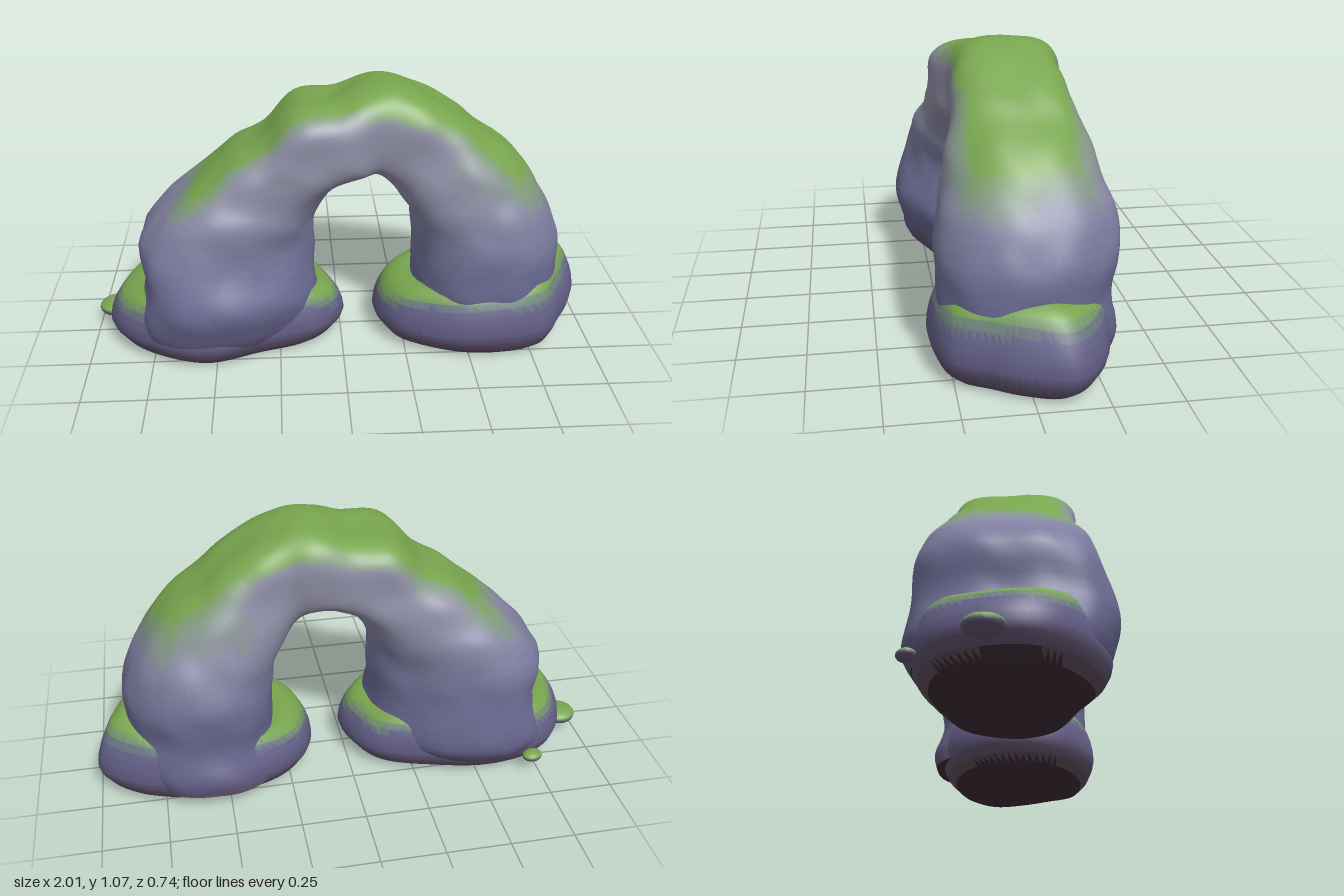
import * as THREE from 'three';

const V = (x, y, z) => new THREE.Vector3(x, y, z);
const { clamp, lerp, smoothstep } = THREE.MathUtils;

// Smooth, repeatable lumpiness in roughly -1..1
const lump = (p, f) =>
  (Math.sin(p.x * f + 1.3 * Math.sin(p.y * f * 0.8 + 1)) +
   Math.sin(p.y * f * 1.2 + 1.1 * Math.sin(p.z * f + 2)) +
   Math.sin(p.z * f * 1.1 + 1.2 * Math.sin(p.x * f * 0.9))) / 3;

// Skin over closed rings of equal length
function loft(rings) {
  const n = rings[0].length, idx = [];
  for (let i = 0; i < rings.length - 1; i++) {
    for (let j = 0; j < n; j++) {
      const k = (j + 1) % n, a = i * n, b = a + n;
      idx.push(a + j, a + k, b + j, a + k, b + k, b + j);
    }
  }
  const g = new THREE.BufferGeometry().setFromPoints(rings.flat());
  g.setIndex(idx);
  g.computeVertexNormals();
  return g;
}

// Stone from the ground up, blended toward moss in a few steps
const STONE = [0x5d4a59, 0x625d84, 0x67678f, 0x6f6f98, 0x7b7b9e, 0x8585a2, 0x8e8ea5].map(c => new THREE.Color(c));
const MOSS = new THREE.Color(0x78a54e), UNDERSIDE = new THREE.Color(0x3b2c35);

function shade(height, moss) {
  const band = Math.round(clamp(height / 0.12, 0, STONE.length - 1) * 3) / 3, low = Math.floor(band);
  return STONE[low].clone().lerp(STONE[Math.min(low + 1, STONE.length - 1)], band - low)
    .lerp(MOSS, Math.round(clamp(moss, 0, 1) * 5) / 5);
}

// Split a skin into one mesh per colour, keeping the shared smooth normals
function painted(name, geometry, rule) {
  const group = new THREE.Group();
  group.name = name;
  const pos = geometry.attributes.position, nor = geometry.attributes.normal;
  const buckets = new Map(), p = V(), n = V(), t = V();
  for (let i = 0; i < geometry.index.count; i += 3) {
    const ids = [0, 1, 2].map(k => geometry.index.getX(i + k));
    p.set(0, 0, 0); n.set(0, 0, 0);
    for (const v of ids) {
      p.add(t.fromBufferAttribute(pos, v));
      n.add(t.fromBufferAttribute(nor, v));
    }
    const color = rule(p.divideScalar(3), n.normalize()).getHex();
    if (!buckets.has(color)) buckets.set(color, []);
    buckets.get(color).push(...ids);
  }
  for (const [color, ids] of buckets) {
    const g = new THREE.BufferGeometry();
    g.setAttribute('position', pos);
    g.setAttribute('normal', nor);
    g.setIndex(ids);
    const mesh = new THREE.Mesh(g, new THREE.MeshStandardMaterial({ color }));
    mesh.name = `${name}Shade${group.children.length + 1}`;
    group.add(mesh);
  }
  return group;
}

// Arch stations: outer x, y, front z, then inner x, y, back z
const STATIONS = [
  [-0.82, 0.06, 0.30, -0.07, 0.06, -0.33],
  [-0.82, 0.14, 0.34, -0.07, 0.13, -0.37],
  [-0.78, 0.27, 0.37, -0.09, 0.24, -0.35],
  [-0.78, 0.47, 0.31, -0.10, 0.38, -0.34],
  [-0.63, 0.63, 0.28, -0.10, 0.50, -0.31],
  [-0.55, 0.70, 0.25, -0.08, 0.57, -0.29],
  [-0.42, 0.80, 0.24, -0.05, 0.64, -0.27],
  [-0.30, 0.87, 0.24, 0.00, 0.69, -0.25],
  [-0.18, 0.99, 0.24, 0.05, 0.71, -0.24],
  [-0.02, 1.02, 0.23, 0.09, 0.72, -0.23],
  [0.15, 1.07, 0.19, 0.14, 0.71, -0.23],
  [0.28, 1.04, 0.19, 0.19, 0.67, -0.21],
  [0.43, 0.96, 0.21, 0.24, 0.61, -0.24],
  [0.57, 0.85, 0.24, 0.28, 0.54, -0.28],
  [0.72, 0.73, 0.26, 0.29, 0.46, -0.31],
  [0.82, 0.58, 0.29, 0.30, 0.39, -0.35],
  [0.88, 0.42, 0.30, 0.29, 0.31, -0.345],
  [0.88, 0.27, 0.29, 0.29, 0.22, -0.32],
  [0.88, 0.14, 0.27, 0.27, 0.13, -0.35],
  [0.86, 0.06, 0.24, 0.25, 0.06, -0.34],
];

function archSkin() {
  const outer = new THREE.CatmullRomCurve3(STATIONS.map(s => V(s[0], s[1], s[2])));
  const inner = new THREE.CatmullRomCurve3(STATIONS.map(s => V(s[3], s[4], s[5])));
  const soft = (v, e) => Math.sign(v) * Math.abs(v) ** e;
  const rings = [], steps = 114, sides = 72;
  for (let i = 0; i <= steps; i++) {
    const o = outer.getPoint(i / steps), q = inner.getPoint(i / steps), ring = [];
    // Boxy at the crown, round in the legs; the -x leg is widest toward its outer side
    const crown = smoothstep((o.y + q.y) / 2, 0.45, 0.85);
    const e = lerp(o.x < 0 ? 1 : 0.9, 0.64, crown), skew = o.x < 0 ? 0.32 * (1 - crown) : 0;
    for (let j = 0; j < sides; j++) {
      const a = j / sides * Math.PI * 2, s = soft(Math.sin(a), e);
      const c = soft(Math.cos(a), e) + skew * Math.sin(a) ** 2;
      const p = V((o.x + q.x) / 2 + c * (o.x - q.x) / 2,
                  (o.y + q.y) / 2 + c * (o.y - q.y) / 2,
                  (o.z + q.z) / 2 + s * (o.z - q.z) / 2);
      // Lumps push along the section's own direction
      const out = V(c * (o.x - q.x), c * (o.y - q.y), s * (o.z - q.z)).normalize();
      ring.push(p.addScaledVector(out, 0.008 * lump(p, 13) + 0.006 * lump(p, 29)));
    }
    rings.push(ring);
  }
  // Flat caps under both legs, with a sharp rim
  const cap = ring => {
    const mid = ring.reduce((m, p) => m.addScaledVector(p, 1 / sides), V(0, 0, 0));
    return [ring.map(() => mid), ring];
  };
  return loft([...cap(rings[0]), ...rings, ...cap(rings[steps]).reverse()]);
}

// Foot outlines on the ground, x and z
const LEFT_SIDE_FOOT = [[-0.93, 0.05], [-0.84, 0.2], [-0.57, 0.33], [-0.3, 0.25], [-0.08, 0.17],
  [0.01, 0.02], [-0.08, -0.2], [-0.33, -0.3], [-0.57, -0.34], [-0.8, -0.28], [-0.91, -0.12]];
const RIGHT_SIDE_FOOT = [[0.14, 0.02], [0.2, 0.18], [0.32, 0.26], [0.52, 0.32], [0.8, 0.28], [0.89, 0.15],
  [0.96, 0.03], [1, -0.13], [0.88, -0.25], [0.7, -0.31], [0.5, -0.32], [0.28, -0.25], [0.17, -0.14]];
// Height and share of the outline; the doubled ring keeps the sole's edge sharp
const FOOT_PROFILE = [[0, 0], [0, 0.82], [0, 0.82], [0.03, 0.92], [0.07, 0.98], [0.1, 1], [0.14, 0.99],
  [0.18, 0.965], [0.21, 0.935], [0.24, 0.9], [0.265, 0.85], [0.28, 0.78], [0.29, 0.7], [0.28, 0.5]];

function footSkin(outline, innerHeight, outerHeight) {
  const pts = new THREE.CatmullRomCurve3(outline.map(([x, z]) => V(x, 0, z)), true).getPoints(72).slice(0, -1);
  const xs = outline.map(p => p[0]);
  const cx = (Math.min(...xs) + Math.max(...xs)) / 2, half = (Math.max(...xs) - Math.min(...xs)) / 2;
  return loft(FOOT_PROFILE.map(([y, k]) => pts.map(p => {
    const side = (p.x - cx) / half * Math.sign(cx);
    const h = lerp(innerHeight, outerHeight, side / 2 + 0.5);
    const q = V(cx + (p.x - cx) * k, y * h, p.z * k);
    const bump = 1 + (y > 0.05 ? 0.012 * lump(q, 13) : 0);
    return V(cx + (q.x - cx) * bump, q.y * (1 + 0.08 * lump(q, 10)), q.z * bump);
  })));
}

// Moss runs as a strip along the back of the arch and fades down its sides
function archColor(p, n) {
  if (n.y < -0.9 && p.y < 0.1) return UNDERSIDE;
  const strip = Math.min((0.25 - Math.abs(p.z + 0.02)) / 0.08, (n.y - 0.2) / 0.25, (p.y - 0.58) / 0.14);
  return shade(p.y + 0.04 * lump(p, 8), strip + 0.5 * lump(p, 12) * (strip > -0.6 ? 1 : 0));
}

// Moss gathers in patches on the ledges of the feet
function footColor(p, n) {
  if (n.y < -0.8) return UNDERSIDE;
  const ledge = Math.min((n.y - 0.4) / 0.3, (p.y - 0.17) / 0.04);
  return shade(p.y, ledge + 0.6 * lump(p, 9));
}

function pebble(name, x, y, z, rx, ry, rz, turn) {
  const g = new THREE.SphereGeometry(1, 20, 14).scale(rx, ry, rz).rotateY(turn).translate(x, y, z);
  return painted(name, g, (p, n) => shade(p.y, n.y * 2));
}

export function createModel() {
  const model = new THREE.Group();
  model.name = 'mossyRockArch';
  model.add(
    painted('arch', archSkin(), archColor),
    painted('footAtMinusX', footSkin(LEFT_SIDE_FOOT, 0.88, 0.93), footColor),
    painted('footAtPlusX', footSkin(RIGHT_SIDE_FOOT, 0.84, 1.12), footColor),
    pebble('largePebble', -0.93, 0.072, -0.08, 0.072, 0.034, 0.07, 0.5),
    pebble('smallPebble', -0.725, 0.065, -0.335, 0.042, 0.022, 0.034, 0.3),
  );
  return model;
}
